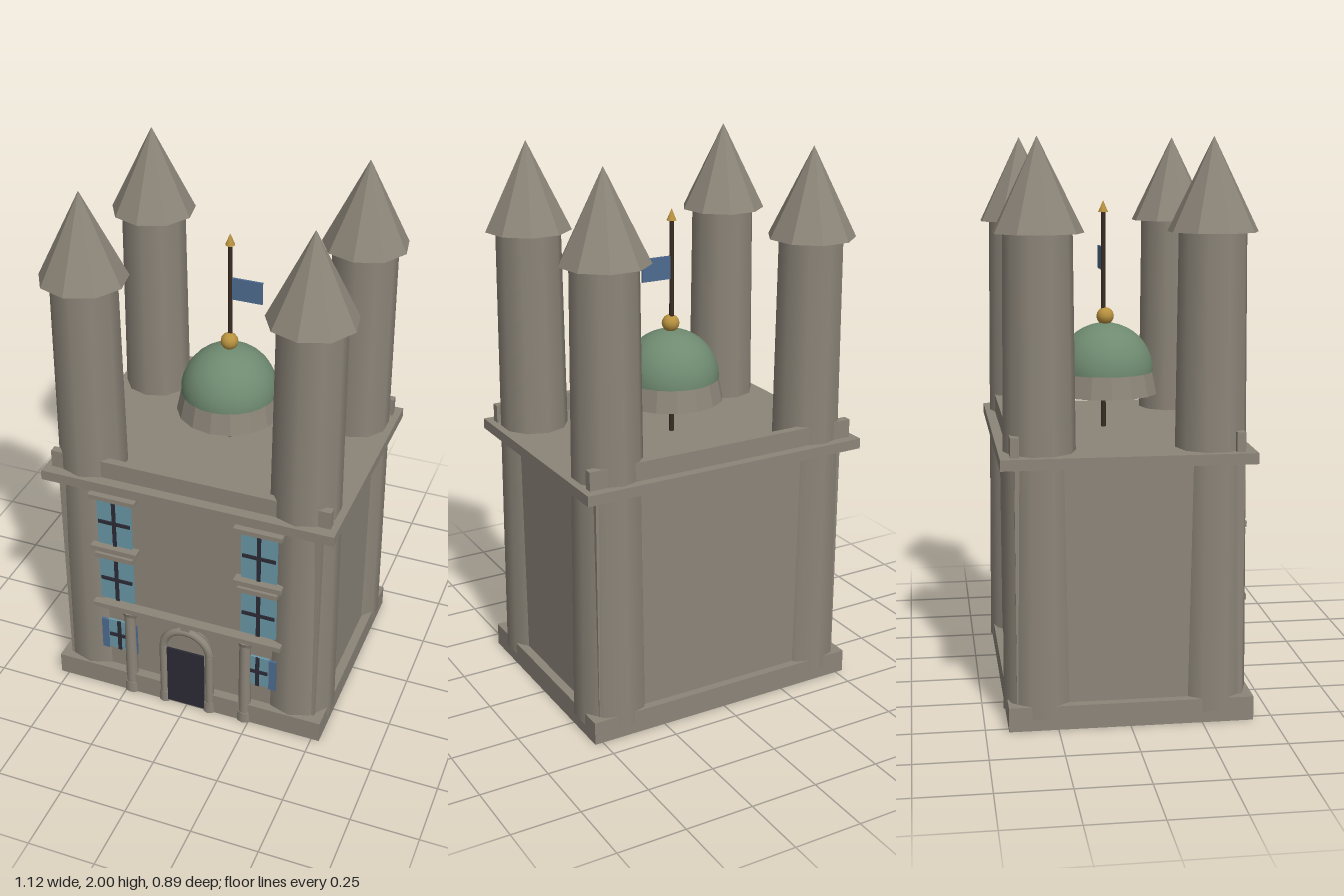
import * as THREE from 'three';

export function createModel() {
  const root = new THREE.Group();
  root.name = 'castle';
  const mat = (name, color, extra = {}) => Object.assign(new THREE.MeshStandardMaterial({ color, ...extra }), { name });
  const stone = mat('stone', 0x8c8579);
  const stoneFlat = stone.clone();
  stoneFlat.flatShading = true;
  stoneFlat.name = 'stone faceted';
  const copper = mat('green copper', 0x6f8a70);
  const glass = mat('window glass', 0x6a98a6);
  const blue = mat('blue cloth and shutters', 0x4f6c90);
  const dark = mat('door', 0x2c2b36);
  const wood = mat('dark wood', 0x3a2c24);
  const gold = mat('gold', 0xb8923f);

  const add = (name, geo, material, x = 0, y = 0, z = 0) => {
    const m = new THREE.Mesh(geo, material);
    m.name = name;
    m.position.set(x, y, z);
    root.add(m);
    return m;
  };
  // box given by its low and high limits on each axis
  const box = (name, material, x0, x1, y0, y1, z0, z1) =>
    add(name, new THREE.BoxGeometry(x1 - x0, y1 - y0, z1 - z0), material, (x0 + x1) / 2, (y0 + y1) / 2, (z0 + z1) / 2);
  // upright cylinder between two heights
  const post = (name, material, rTop, rBot, y0, y1, x, z, sides) =>
    add(name, new THREE.CylinderGeometry(rTop, rBot, y1 - y0, sides), material, x, (y0 + y1) / 2, z);

  // main block
  box('plinth', stone, -0.53, 0.53, 0, 0.085, -0.42, 0.43);
  box('body', stone, -0.497, 0.497, 0.08, 0.92, -0.39, 0.395);
  box('cornice', stone, -0.55, 0.55, 0.915, 0.953, -0.44, 0.43);
  box('frontParapet', stone, -0.525, 0.525, 0.95, 1.02, 0.36, 0.39);
  box('backParapet', stone, -0.525, 0.525, 0.95, 1.02, -0.405, -0.375);

  // corner towers with pointed roofs
  for (const x of [-0.405, 0.405]) {
    for (const z of [-0.298, 0.292]) {
      post('tower', stone, 0.117, 0.133, 0.04, 1.69, x, z, 10);
      add('towerRoof', new THREE.ConeGeometry(0.156, 0.315, 9), stoneFlat, x, 1.8425, z);
    }
  }

  // dome, flagpole and flag
  const cz = -0.02;
  post('domeDrum', stoneFlat, 0.174, 0.192, 1.08, 1.165, 0, cz, 16);
  add('dome', new THREE.SphereGeometry(0.176, 24, 10, 0, Math.PI * 2, 0, Math.PI / 2), copper, 0, 1.16, cz);
  add('domeBall', new THREE.SphereGeometry(0.032, 12, 8), gold, 0, 1.36, cz);
  post('flagpole', wood, 0.008, 0.011, 0.002, 1.74, 0, cz - 0.007, 8);
  add('poleTip', new THREE.ConeGeometry(0.018, 0.042, 8), gold, 0, 1.755, cz - 0.007);
  box('flag', blue, 0.008, 0.12, 1.525, 1.608, cz - 0.012, cz - 0.004);

  // one window with its cross bars
  const makeWindow = (x, halfW, y0, y1) => {
    const mid = (y0 + y1) / 2;
    box('windowGlass', glass, x - halfW, x + halfW, y0, y1, 0.403, 0.412);
    box('windowUpright', dark, x - 0.007, x + 0.007, y0, y1, 0.41, 0.417);
    box('windowCrossbar', dark, x - halfW + 0.005, x + halfW - 0.005, mid - 0.007, mid + 0.007, 0.41, 0.417);
  };
  const ledge = (x, halfW, y0, y1) => box('windowLedge', stone, x - halfW, x + halfW, y0, y1, 0.39, 0.433);

  // mirrored facade details
  for (const s of [-1, 1]) {
    const x = s * 0.278;
    makeWindow(x, 0.067, 0.675, 0.875);
    makeWindow(x, 0.067, 0.42, 0.612);
    makeWindow(x, 0.045, 0.18, 0.315);
    ledge(x, 0.09, 0.88, 0.898);
    ledge(x, 0.09, 0.65, 0.67);
    ledge(x, 0.075, 0.62, 0.64);
    for (const t of [-1, 1]) {
      const sx = x + t * 0.058;
      box('shutter', blue, sx - 0.014, sx + 0.014, 0.175, 0.312, 0.405, 0.414);
    }
    // porch column
    post('columnShaft', stone, 0.021, 0.024, 0.03, 0.37, s * 0.23, 0.415, 10);
    post('columnBase', stone, 0.033, 0.035, 0, 0.045, s * 0.23, 0.408, 10);
    post('columnCapital', stone, 0.034, 0.024, 0.355, 0.385, s * 0.23, 0.408, 10);
    // door jamb
    post('doorJamb', stone, 0.016, 0.016, 0.03, 0.27, s * 0.092, 0.424, 10);
    post('jambBase', stone, 0.026, 0.028, 0, 0.045, s * 0.09, 0.415, 10);
  }
  box('porchBand', stone, -0.37, 0.37, 0.385, 0.405, 0.39, 0.435);

  // arched doorway
  const arch = new THREE.Shape();
  arch.moveTo(-0.09, 0.01);
  arch.lineTo(0.09, 0.01);
  arch.lineTo(0.09, 0.27);
  arch.absarc(0, 0.27, 0.09, 0, Math.PI, false);
  arch.lineTo(-0.09, 0.01);
  add('doorBacking', new THREE.ExtrudeGeometry(arch, { depth: 0.035, bevelEnabled: false }), stone, 0, 0, 0.39);
  box('door', dark, -0.074, 0.074, 0.012, 0.272, 0.43, 0.438);
  add('doorArch', new THREE.TorusGeometry(0.092, 0.016, 8, 20, Math.PI), stone, 0, 0.268, 0.424);
  box('keystone', stone, -0.016, 0.016, 0.345, 0.388, 0.39, 0.435);
  return root;
}
